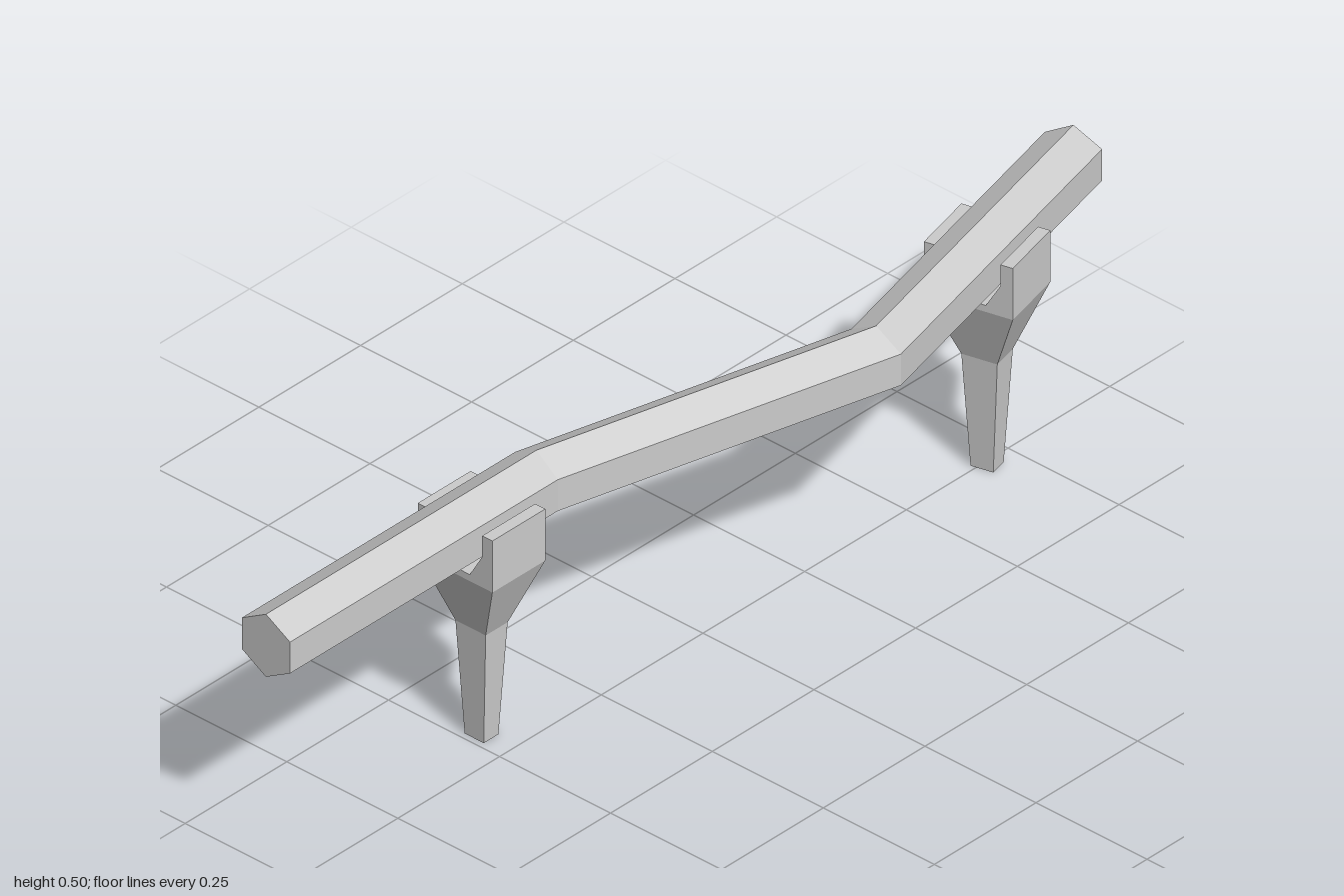
import * as THREE from 'three';

const material = new THREE.MeshStandardMaterial({ color: 0xcccccc, flatShading: true });

function addMesh(parent, name, geometry) {
  const mesh = new THREE.Mesh(geometry, material);
  mesh.name = name;
  parent.add(mesh);
  return mesh;
}

// Joins rings of points (counterclockwise about the path) into a capped solid
function loft(rings) {
  const pos = [];
  const tri = (...points) => points.forEach((p) => pos.push(p.x, p.y, p.z));
  const n = rings[0].length;
  for (let i = 0; i < rings.length - 1; i++) {
    for (let j = 0; j < n; j++) {
      const k = (j + 1) % n;
      tri(rings[i][j], rings[i][k], rings[i + 1][k]);
      tri(rings[i][j], rings[i + 1][k], rings[i + 1][j]);
    }
  }
  const first = rings[0];
  const last = rings[rings.length - 1];
  for (let j = 1; j < n - 1; j++) {
    tri(first[0], first[j + 1], first[j]);
    tri(last[0], last[j], last[j + 1]);
  }
  const geometry = new THREE.BufferGeometry();
  geometry.setAttribute('position', new THREE.Float32BufferAttribute(pos, 3));
  geometry.computeVertexNormals();
  return geometry;
}

// Bent hexagonal beam: plan points (x, z), with mitred joints
const path = [[-1, -0.068], [-0.335, -0.068], [0.32, 0.097], [0.984, -0.067]]
  .map(([x, z]) => new THREE.Vector2(x, z));
const beamY = 0.4375;
const beamR = 0.0625;

function beamGeometry() {
  const dirs = path.slice(1).map((p, i) => p.clone().sub(path[i]).normalize());
  const rings = path.map((p, i) => {
    const a = dirs[Math.max(i - 1, 0)];
    const b = dirs[Math.min(i, dirs.length - 1)];
    const mid = a.clone().add(b).normalize();
    const stretch = 1 / mid.dot(a);
    return Array.from({ length: 6 }, (_, j) => {
      const t = (j * Math.PI) / 3;
      const side = Math.sin(t) * beamR * stretch;
      return new THREE.Vector3(p.x - mid.y * side, beamY + Math.cos(t) * beamR, p.y + mid.x * side);
    });
  });
  return loft(rings);
}

// Tapered leg: [height, half width, half depth]
function legGeometry() {
  const levels = [[0, 0.018, 0.0215], [0.225, 0.027, 0.034], [0.352, 0.065, 0.084]];
  return loft(levels.map(([y, hx, hz]) =>
    [[-1, 1], [1, 1], [1, -1], [-1, -1]].map(([sx, sz]) => new THREE.Vector3(sx * hx, y, sz * hz))));
}

// Open fork that cradles the beam
function forkGeometry() {
  const half = [[0.084, 0.352], [0.084, 0.455], [0.061, 0.455], [0.061, 0.413], [0.033, 0.365]];
  const mirrored = half.map(([x, y]) => [-x, y]).reverse();
  const shape = new THREE.Shape([...half, ...mirrored].map(([x, y]) => new THREE.Vector2(x, y)));
  const geometry = new THREE.ExtrudeGeometry(shape, { depth: 0.13, bevelEnabled: false });
  return geometry.translate(0, 0, -0.065).rotateY(Math.PI / 2);
}

export function createModel() {
  const model = new THREE.Group();
  model.name = 'beamOnForks';
  addMesh(model, 'beam', beamGeometry());

  const leg = legGeometry();
  const fork = forkGeometry();
  const bend = Math.atan2(path[2].y - path[3].y, path[3].x - path[2].x);
  const supports = [
    ['rightSupport', -0.47, -0.068, 0],
    ['leftSupport', 0.692, 0.006, bend],
  ];
  for (const [name, x, z, turn] of supports) {
    const support = new THREE.Group();
    support.name = name;
    support.position.set(x, 0, z);
    support.rotation.y = turn;
    addMesh(support, 'leg', leg);
    addMesh(support, 'fork', fork);
    model.add(support);
  }
  return model;
}
